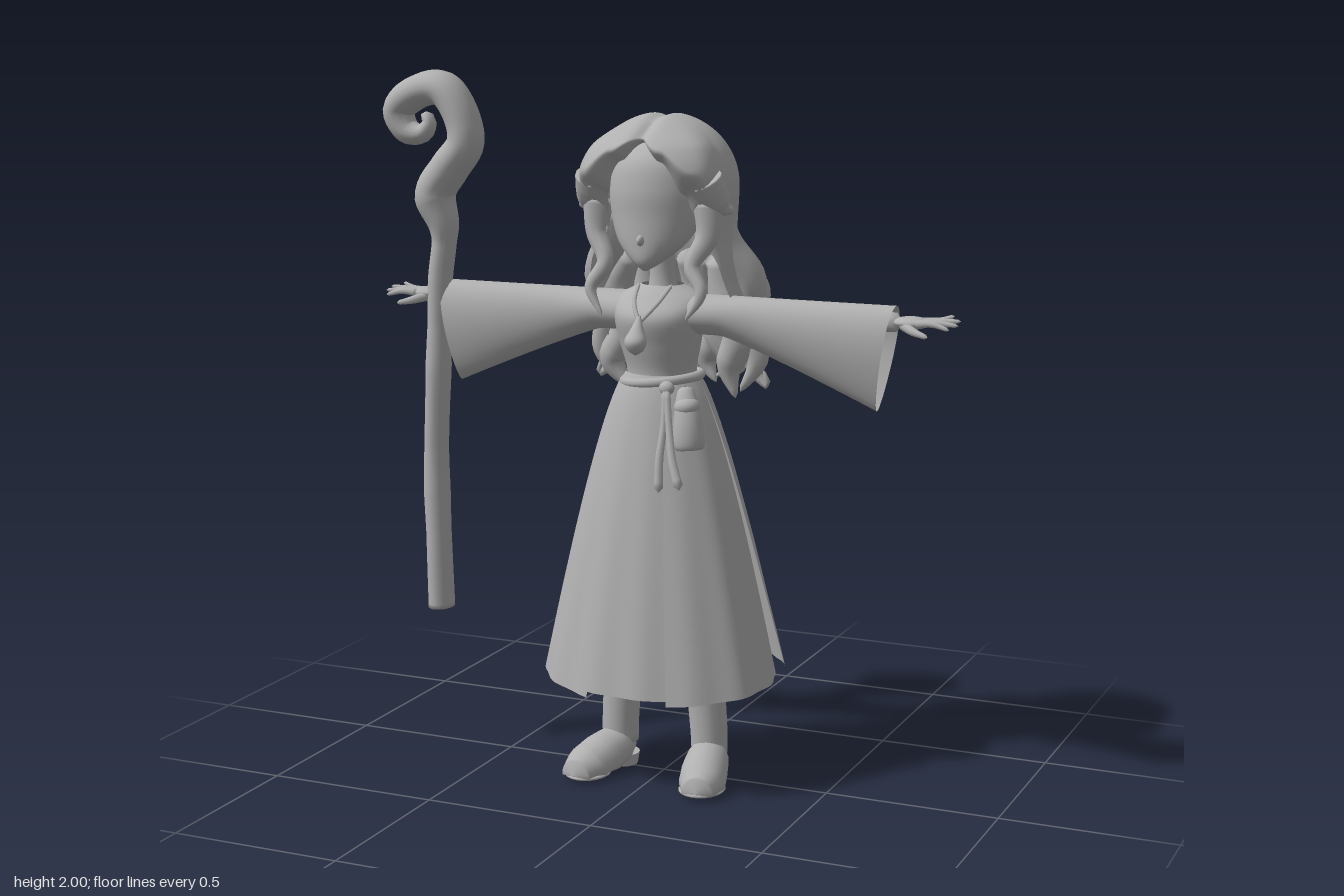
import * as THREE from 'three';
import { mergeVertices } from 'three/addons/utils/BufferGeometryUtils.js';

const clay = new THREE.MeshStandardMaterial({ color: 0xb0b0b0, side: THREE.DoubleSide });
clay.name = 'clay grey';

const { lerp, smoothstep } = THREE.MathUtils;
const V = (a) => new THREE.Vector3(...a);

// Smooth lookup in rows of [key, value, value...], keys ascending
function look(rows, k) {
  let i = 0;
  while (i < rows.length - 2 && k > rows[i + 1][0]) i++;
  const t = smoothstep(k, rows[i][0], rows[i + 1][0]);
  return rows[i].slice(1).map((a, j) => lerp(a, rows[i + 1][j + 1], t));
}

function add(group, name, geometry) {
  const mesh = new THREE.Mesh(geometry, clay);
  mesh.name = name;
  group.add(mesh);
  return mesh;
}

// Surface from a rule f(u, v) -> [x, y, z]
function sheet(f, nu, nv) {
  const pos = [], index = [];
  for (let j = 0; j <= nv; j++) for (let i = 0; i <= nu; i++) pos.push(...f(i / nu, j / nv));
  for (let j = 0; j < nv; j++) for (let i = 0; i < nu; i++) {
    const a = j * (nu + 1) + i, b = a + nu + 1;
    index.push(a, b, a + 1, b, b + 1, a + 1);
  }
  let g = new THREE.BufferGeometry();
  g.setAttribute('position', new THREE.Float32BufferAttribute(pos, 3));
  g.setIndex(index);
  g = mergeVertices(g, 1e-5);
  g.computeVertexNormals();
  return g;
}

// Upright body of ellipses, rows of [y, halfWidth, halfDepth, centreZ]
function loft(rows, n = 32, steps = 30) {
  const y0 = rows[0][0], y1 = rows[rows.length - 1][0];
  const curve = new THREE.SplineCurve(rows.map((r) => new THREE.Vector2(r[0], r[1])));
  const deep = new THREE.SplineCurve(rows.map((r) => new THREE.Vector2(r[2], r[3])));
  return sheet((u, v) => {
    const a = -u * Math.PI * 2, p = curve.getPoint(1 - v), q = deep.getPoint(1 - v);
    return [p.y * Math.sin(a), THREE.MathUtils.clamp(p.x, y0, y1), q.y + q.x * Math.cos(a)];
  }, n, steps);
}

// Tube with changing radius and closed ends
function tube(points, radii, seg = 32, sides = 10) {
  const curve = new THREE.CatmullRomCurve3(points.map(V));
  const geo = new THREE.TubeGeometry(curve, seg, 1, sides);
  const p = geo.attributes.position, v = new THREE.Vector3();
  for (let i = 0; i < p.count; i++) {
    const ring = Math.floor(i / (sides + 1)), t = ring / seg;
    const k = t * (radii.length - 1), j = Math.min(Math.floor(k), radii.length - 2);
    const r = lerp(radii[j], radii[j + 1], k - j) * (ring === 0 || ring === seg ? 0.01 : 1);
    const c = curve.getPointAt(t);
    v.fromBufferAttribute(p, i).sub(c).multiplyScalar(r).add(c);
    p.setXYZ(i, v.x, v.y, v.z);
  }
  geo.deleteAttribute('uv');
  geo.deleteAttribute('normal');
  const out = mergeVertices(geo, 1e-5);
  out.computeVertexNormals();
  return out;
}

function ball(group, name, at, scale) {
  const m = add(group, name, new THREE.SphereGeometry(1, 20, 14));
  m.position.set(...at);
  m.scale.set(...scale);
}

// Skirt panel between two angles from the front, which drift by k towards the hem
function panel(a0, k0, a1, k1, hem0, hem1, flare) {
  return sheet((u, v) => {
    const a = lerp(a0 + k0 * v, a1 + k1 * v, u), y = lerp(1.18, lerp(hem0, hem1, u), v);
    const s = Math.pow(v, 0.72), w = flare(u, v) * (1 + 0.012 * v * Math.sin(a * 14));
    return [(0.1 + 0.245 * s) * Math.sin(a) * w, y, 0.015 * (1 - v) + (0.1 + 0.17 * s) * Math.cos(a) * w];
  }, 28, 24);
}

function buildSide(s) {
  const g = new THREE.Group();
  g.name = s > 0 ? 'leftSide' : 'rightSide';
  const m = (pts) => pts.map(([x, y, z]) => [x * s, y, z]);

  // Wide sleeve with a slanted, pointed cuff
  add(g, 'sleeve', sheet((u, v) => {
    const a = u * Math.PI * 2, low = (1 - Math.cos(a)) / 2;
    const bottom = 1.29 - 0.18 * Math.pow(Math.max(0, (v - 0.2) / 0.8), 1.1);
    const width = look([[0, 0.08], [0.4, 0.061], [1, 0.073]], v)[0] * (1 - 0.45 * v * low);
    return [s * lerp(0.07, 0.685 - 0.05 * low, v), lerp(1.402, bottom, low), 0.015 + width * Math.sin(a)];
  }, 32, 28));
  add(g, 'arm', tube(m([[0.1, 1.35, 0.015], [0.4, 1.355, 0.02], [0.71, 1.36, 0.03]]), [0.04, 0.033, 0.026]));

  // Hand
  ball(g, 'palm', [0.735 * s, 1.362, 0.035], [0.052, 0.017, 0.04]);
  for (let i = 0; i < 4; i++) {
    const z = 0.008 + i * 0.018, e = -0.01 + i * 0.028, reach = [0.84, 0.866, 0.867, 0.85][i];
    add(g, 'finger', tube(m([[0.75, 1.362, z], [0.8, 1.366, lerp(z, e, 0.6)], [reach, 1.38 - i * 0.009, e]]), [0.012, 0.009, 0.005], 12, 8));
  }
  add(g, 'thumb', tube(m([[0.715, 1.358, 0.05], [0.755, 1.345, 0.085], [0.8, 1.335, 0.103]]), [0.016, 0.012, 0.006], 12, 8));

  // Boot
  add(g, 'bootShaft', tube(m([[0.115, 0.75, 0], [0.125, 0.4, 0], [0.132, 0.25, 0], [0.14, 0.12, -0.003], [0.14, 0.05, -0.005]]), [0.07, 0.066, 0.064, 0.055, 0.052], 30, 18));
  const foot = tube(m([[0.138, 0.055, -0.05], [0.144, 0.06, 0.005], [0.16, 0.048, 0.075], [0.18, 0.026, 0.15], [0.19, 0.02, 0.215]]), [0.03, 0.06, 0.066, 0.066, 0.04], 30, 18);
  const p = foot.attributes.position;
  for (let i = 0; i < p.count; i++) p.setY(i, Math.max(p.getY(i), 0.016));
  foot.computeVertexNormals();
  add(g, 'bootFoot', foot);
  const heel = add(g, 'bootHeel', new THREE.CylinderGeometry(0.052, 0.046, 0.035, 20));
  heel.position.set(0.14 * s, 0.0175, -0.012);
  ball(g, 'bootSole', [0.178 * s, 0.014, 0.14], [0.066, 0.014, 0.077]);

  // Front coat panel, set over the centre panel
  add(g, 'sideSkirtPanel', panel(s * 0.34, 0, s * 1.5, s * 0.25, 0.28, 0.315,
    (u, v) => 1 + 0.04 * v - 0.07 * v * smoothstep(u, 0.4, 1)));

  // Flick at the end of the fringe
  add(g, 'fringeTip', tube(m([[0.165, 1.73, 0.11], [0.185, 1.68, 0.085], [0.205, 1.65, 0.065], [0.232, 1.638, 0.055]]), [0.05, 0.045, 0.034, 0.006], 24, 14));
  // Wavy locks beside the face and over the shoulders
  add(g, 'faceLock', tube(m([[0.165, 1.67, 0.075], [0.165, 1.57, 0.085], [0.13, 1.49, 0.11], [0.165, 1.42, 0.13], [0.125, 1.345, 0.145]]), [0.045, 0.034, 0.024, 0.018, 0.004]));
  add(g, 'shoulderLock', tube(m([[0.155, 1.64, 0], [0.175, 1.54, -0.03], [0.228, 1.44, -0.07], [0.215, 1.33, -0.1], [0.24, 1.21, -0.11], [0.185, 1.11, -0.11]]), [0.04, 0.046, 0.048, 0.042, 0.032, 0.006]));
  add(g, 'curledLock', tube(m([[0.17, 1.48, -0.1], [0.22, 1.39, -0.12], [0.195, 1.27, -0.12], [0.22, 1.17, -0.13], [0.262, 1.13, -0.13], [0.25, 1.18, -0.12]]), [0.03, 0.052, 0.038, 0.025, 0.014, 0.004]));
  ball(g, 'earring', [0.138 * s, 1.57, 0.085], [0.009, 0.02, 0.009]);
  return g;
}

// Hair: parted crown, fringe rolled under over the brow, waves down the back
function hair() {
  const size = [[1.18, 0.19, 0.19], [1.28, 0.21, 0.225], [1.37, 0.228, 0.258], [1.46, 0.212, 0.214], [1.58, 0.204, 0.203], [1.7, 0.208, 0.212]];
  const hem = [[0, 1.83], [0.35, 1.775], [0.75, 1.685], [1, 1.62], [1.15, 1.52], [1.4, 1.4], [1.9, 1.25], [3.15, 1.19]];
  return sheet((u, v) => {
    const a = lerp(-Math.PI, Math.PI, u), side = Math.abs(a);
    const y = lerp(1.9, look(hem, side)[0], Math.pow(v, 1.6));
    const k = Math.max(0, (y - 1.7) / 0.2), dome = Math.sqrt(Math.max(0, 1 - k * k));
    const [rx, rz] = look(size, y);
    const wave = 1 + 0.055 * smoothstep(1.897 - y, 0.25, 0.55) * Math.sin(side * 9 + y * 7);
    const front = 1 - smoothstep(side, 0.8, 1.4);
    const puff = 1 + 0.2 * front * smoothstep(1.9 - y, 0.01, 0.09) * smoothstep(y, 1.6, 1.76);
    const roll = 1 - 0.28 * front * Math.pow(Math.max(0, (v - 0.8) / 0.2), 2);
    const part = 1 - 0.08 * Math.exp(-((a / 0.1) ** 2)) * smoothstep(v, 0.2, 0.5);
    const r = dome * wave * puff * roll * part, x = rx * Math.sin(a) * r;
    return [x, y - 0.012 * Math.exp(-((x / 0.022) ** 2)) * smoothstep(y, 1.8, 1.86), rz * Math.cos(a) * r];
  }, 128, 60);
}

export function createModel() {
  const model = new THREE.Group();
  model.name = 'robedFigure';

  // Head and body
  add(model, 'head', loft([[1.474, 0.006, 0.006, 0.13], [1.5, 0.045, 0.05, 0.108], [1.55, 0.098, 0.088, 0.074], [1.62, 0.13, 0.122, 0.04], [1.7, 0.138, 0.135, 0.028], [1.78, 0.12, 0.12, 0.02], [1.84, 0.04, 0.04, 0.02]]));
  ball(model, 'nose', [0, 1.56, 0.157], [0.011, 0.016, 0.022]);
  add(model, 'neck', loft([[1.38, 0.05, 0.045, 0.01], [1.45, 0.036, 0.036, 0.01], [1.56, 0.038, 0.038, 0.02]], 20, 10));
  add(model, 'bodice', loft([[1.1, 0.105, 0.105, 0.01], [1.18, 0.098, 0.095, 0.015], [1.26, 0.115, 0.105, 0.025], [1.34, 0.13, 0.118, 0.03], [1.39, 0.125, 0.09, 0.015], [1.425, 0.06, 0.055, 0.01]]));
  add(model, 'hair', hair());

  // Lock ends hanging below the back hair
  for (let i = -3; i <= 3; i++) {
    const a = i * 0.36, x = Math.sin(a), z = -Math.cos(a), w = (i % 2 ? 1 : -1) * 0.022;
    const tip = 1.095 + 0.025 * ((i + 6) % 3);
    add(model, 'backLock', tube([[x * 0.15, 1.5, z * 0.15], [x * 0.2 - w, 1.38, z * 0.21], [x * 0.195 + w, 1.28, z * 0.195], [x * 0.205 - w, 1.18, z * 0.205], [x * 0.18 + w, tip, z * 0.19]],
      [0.03, 0.055, 0.054, 0.042, 0.005], 32, 12));
  }
  model.add(buildSide(1), buildSide(-1));

  // Skirt front and back
  add(model, 'frontSkirtPanel', panel(-0.42, 0, 0.42, 0, 0.29, 0.29, (u, v) => 0.99 - 0.01 * v));
  add(model, 'backSkirtPanel', panel(1.53, 0.28, Math.PI * 2 - 1.53, -0.28, 0.335, 0.335,
    (u, v) => 0.985 + 0.045 * v * Math.pow(Math.abs(2 * u - 1), 4)));

  // Belt with knot, hanging ends and pouch
  const belt = add(model, 'belt', new THREE.TorusGeometry(0.108, 0.014, 10, 40));
  belt.rotation.set(Math.PI / 2, 0.1, 0);
  belt.position.set(0, 1.16, 0.012);
  ball(model, 'beltKnot', [0.06, 1.15, 0.12], [0.022, 0.02, 0.018]);
  add(model, 'beltEnd', tube([[0.06, 1.15, 0.13], [0.066, 1.05, 0.155], [0.064, 0.96, 0.18], [0.068, 0.87, 0.195]], [0.01, 0.01, 0.012, 0.014], 20, 8));
  add(model, 'beltEnd', tube([[0.065, 1.15, 0.13], [0.085, 1.04, 0.16], [0.105, 0.96, 0.185], [0.135, 0.885, 0.205]], [0.01, 0.01, 0.012, 0.014], 20, 8));
  const pouch = new THREE.Group();
  pouch.name = 'pouch';
  add(pouch, 'pouchBag', loft([[-0.085, 0.01, 0.01, 0], [-0.08, 0.04, 0.032, 0], [-0.03, 0.043, 0.038, 0], [0.03, 0.035, 0.03, 0], [0.08, 0.022, 0.02, -0.01], [0.09, 0.005, 0.005, -0.01]], 20, 24));
  ball(pouch, 'pouchFlap', [0, 0.035, 0], [0.037, 0.028, 0.036]);
  pouch.position.set(0.13, 1.07, 0.135);
  pouch.rotation.set(-0.15, 0.5, 0.12);
  model.add(pouch);

  // Necklace with drop pendant
  for (const s of [-1, 1]) add(model, 'cord', tube([[s * 0.05, 1.43, 0.06], [s * 0.035, 1.385, 0.125], [0, 1.335, 0.175]], [0.006, 0.006, 0.006], 16, 6));
  add(model, 'pendant', loft([[1.25, 0.004, 0.004, 0.195], [1.265, 0.024, 0.022, 0.195], [1.29, 0.031, 0.03, 0.195], [1.32, 0.018, 0.018, 0.185], [1.355, 0.004, 0.004, 0.17]], 18, 20));

  // Gnarled staff with a curled head
  const staff = add(model, 'staff', tube([
    [-0.707, 0.41, 0], [-0.71, 0.63, 0.003], [-0.718, 0.86, -0.003], [-0.702, 1.13, 0.003], [-0.692, 1.4, 0], [-0.676, 1.55, 0],
    [-0.703, 1.65, 0], [-0.655, 1.725, 0], [-0.602, 1.8, 0], [-0.622, 1.89, 0], [-0.675, 1.95, 0], [-0.755, 1.938, 0],
    [-0.818, 1.885, 0], [-0.79, 1.826, 0], [-0.738, 1.822, 0], [-0.718, 1.86, 0], [-0.745, 1.875, 0]],
  [0.037, 0.036, 0.035, 0.037, 0.034, 0.034, 0.036, 0.032, 0.034, 0.034, 0.056, 0.054, 0.049, 0.05, 0.048, 0.036, 0.012], 150, 16));
  staff.scale.z = 1.3;
  staff.position.z = 0.035;
  return model;
}
